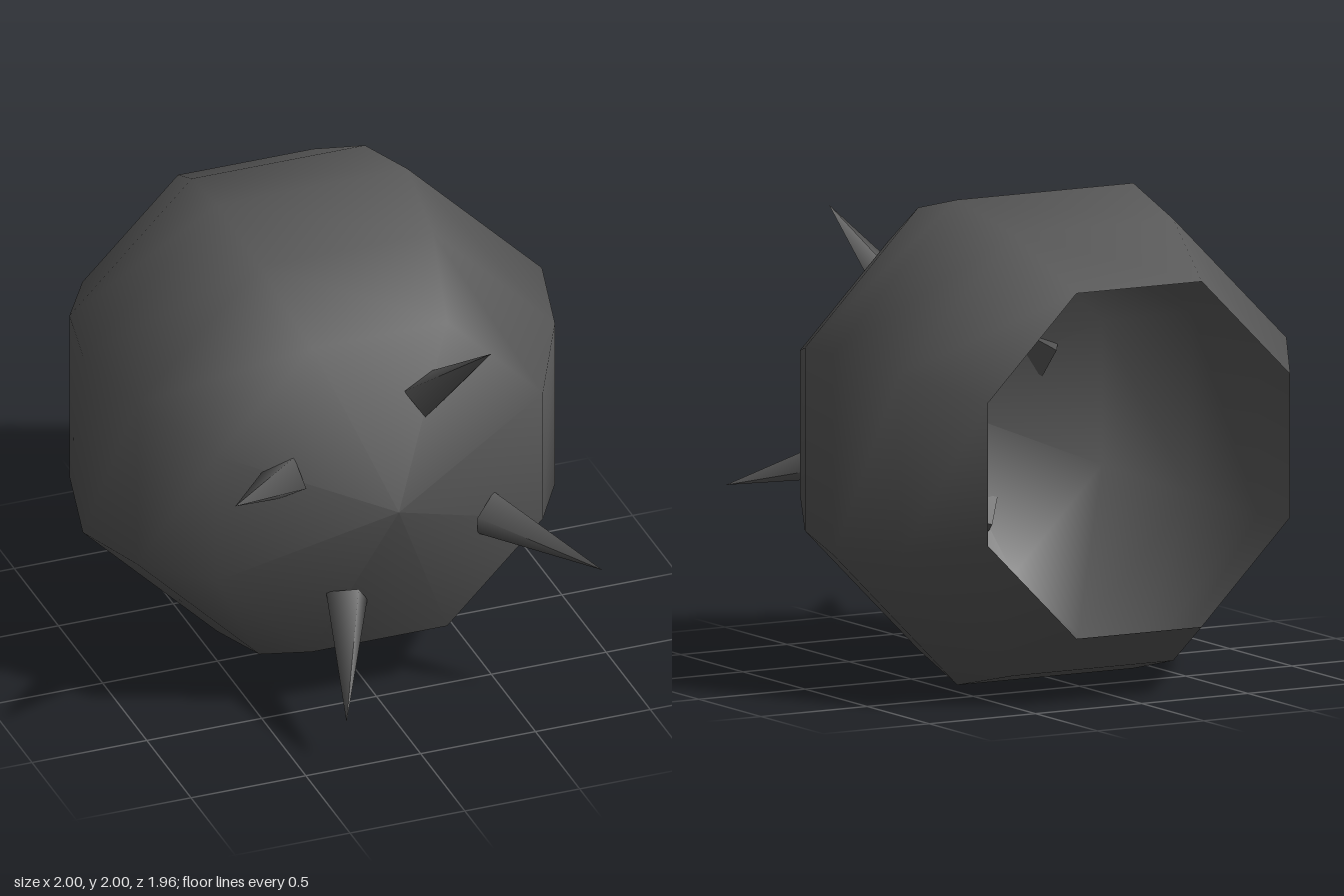
import * as THREE from 'three';

const charcoal = new THREE.MeshStandardMaterial({ color: 0x585858, side: THREE.DoubleSide });
charcoal.name = 'charcoal';

// Shading normals point inward, so surfaces are lit as a hollow shell
function invertNormals(geometry) {
  const n = geometry.attributes.normal;
  for (let i = 0; i < n.count; i++) n.setXYZ(i, -n.getX(i), -n.getY(i), -n.getZ(i));
  return geometry;
}

export function createModel() {
  const model = new THREE.Group();
  model.name = 'spikedShell';

  // Eight-sided rounded shell about the z axis, open at the back: [radius, z]
  const profile = [
    [0.77, -0.98], [0.985, -0.61], [1.082, -0.225],
    [0.985, 0.155], [0.77, 0.535], [0, 0.755],
  ].map(([r, z]) => new THREE.Vector2(r, z));
  const shellGeometry = new THREE.LatheGeometry(profile, 8, Math.PI / 8);
  shellGeometry.rotateX(Math.PI / 2);
  const shell = new THREE.Mesh(invertNormals(shellGeometry), charcoal);
  shell.name = 'shell';
  shell.position.y = 1;
  model.add(shell);

  // Four-sided spike leaning outward from the front
  const base = new THREE.Vector3(0.17, 0.435, 0.605);
  const tip = new THREE.Vector3(0.315, 0.8, 0.98);
  const axis = tip.clone().sub(base);
  const length = axis.length();
  axis.normalize();
  const across = new THREE.Vector3(-axis.y, axis.x, 0).normalize();
  const basis = new THREE.Matrix4().makeBasis(across, axis, across.clone().cross(axis));
  basis.setPosition(base);
  const spikeGeometry = new THREE.ConeGeometry(0.097, length, 4);
  spikeGeometry.translate(0, length / 2, 0).applyMatrix4(basis);
  invertNormals(spikeGeometry);

  // Spikes repeat every quarter turn around the front
  ['upperSpike', 'rightSpike', 'lowerSpike', 'leftSpike'].forEach((name, i) => {
    const spike = new THREE.Mesh(spikeGeometry, charcoal);
    spike.name = name;
    spike.position.y = 1;
    spike.rotation.z = (i * Math.PI) / 2;
    model.add(spike);
  });

  return model;
}
